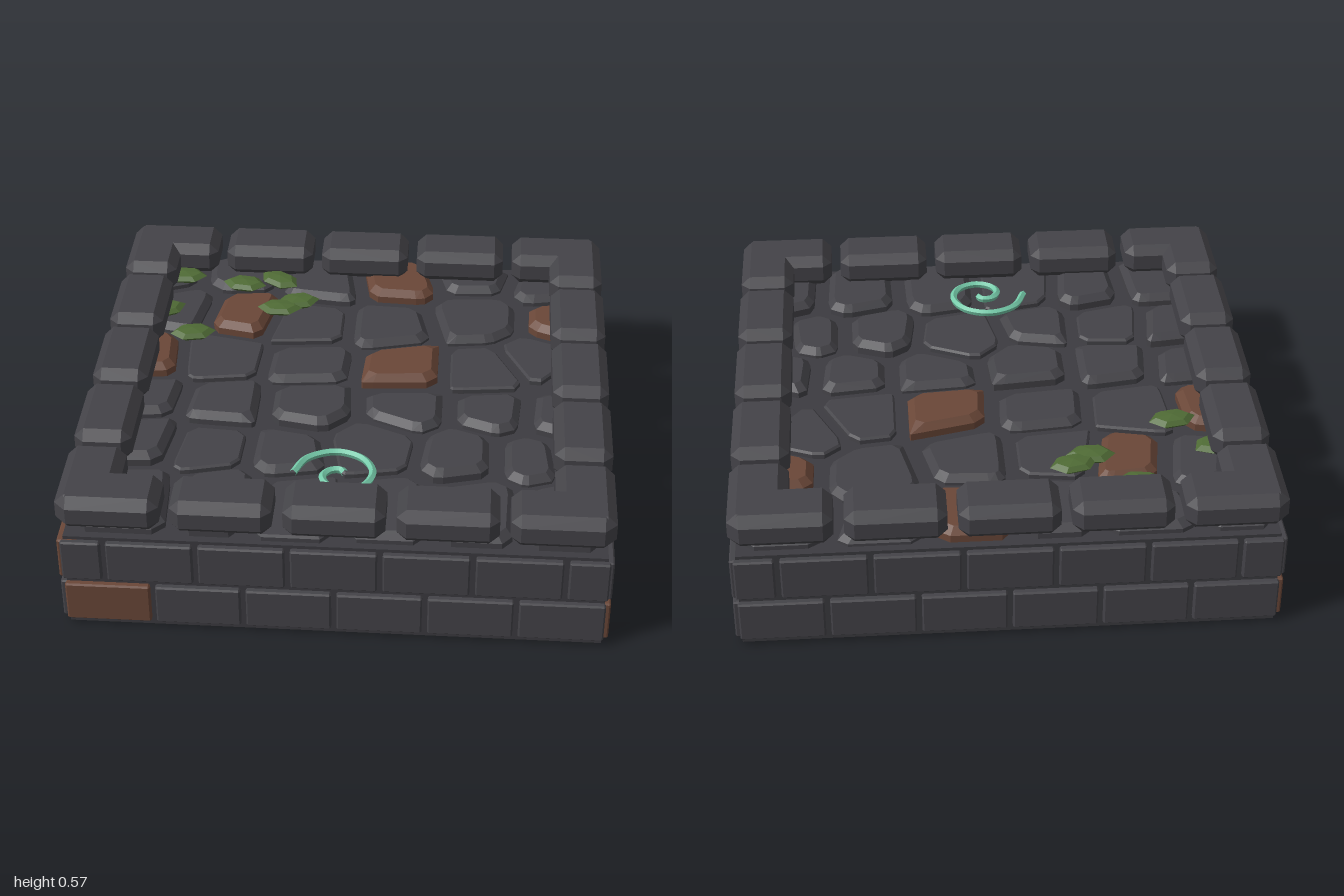
import * as THREE from 'three';
import { ConvexGeometry } from 'three/addons/geometries/ConvexGeometry.js';

const mat = (name, color) => {
  const m = new THREE.MeshStandardMaterial({ color });
  m.name = name;
  return m;
};

// Box with every edge cut by a chamfer
function chamferBox(w, h, d, b) {
  const pts = [];
  for (const sx of [-1, 1]) for (const sy of [-1, 1]) for (const sz of [-1, 1])
    for (const k of [0, 1, 2])
      pts.push(new THREE.Vector3(
        sx * (w / 2 - (k === 0 ? 0 : b)),
        sy * (h / 2 - (k === 1 ? 0 : b)),
        sz * (d / 2 - (k === 2 ? 0 : b))));
  return new ConvexGeometry(pts);
}

// Keep the part of a polygon where n.p <= c
function clip(poly, nx, nz, c) {
  const out = [];
  poly.forEach(([ax, az], i) => {
    const [bx, bz] = poly[(i + 1) % poly.length];
    const da = ax * nx + az * nz - c, db = bx * nx + bz * nz - c;
    if (da <= 0) out.push([ax, az]);
    if (da * db < 0) {
      const t = da / (da - db);
      out.push([ax + (bx - ax) * t, az + (bz - az) * t]);
    }
  });
  return out;
}

// Cell around one seed, drawn in from its neighbours by a gap, with cut corners
function cell(seeds, i, gap) {
  const e = 0.975 - gap;
  let poly = [[-e, -e], [e, -e], [e, e], [-e, e]];
  const [x, z] = seeds[i];
  seeds.forEach(([ox, oz], j) => {
    if (j === i) return;
    const l = Math.hypot(ox - x, oz - z), nx = (ox - x) / l, nz = (oz - z) / l;
    poly = clip(poly, nx, nz, nx * (x + ox) / 2 + nz * (z + oz) / 2 - gap);
  });
  const cut = 0.14;
  return poly.flatMap(([ax, az], k) => {
    const [bx, bz] = poly[(k + 1) % poly.length];
    return [cut, 1 - cut].map(t => [ax + (bx - ax) * t, az + (bz - az) * t]);
  });
}

export function createModel() {
  const root = new THREE.Group();
  root.name = 'stoneFloorTile';
  const stone = mat('dark stone', 0x444348);
  const mortar = mat('mortar', 0x3c3b40);
  const clay = mat('brown stone', 0x6a4738);
  const leaf = mat('moss green', 0x4f6b35);
  const glow = mat('mint', 0x74c9a8);

  const add = (parent, name, geo, m, x = 0, y = 0, z = 0) => {
    const mesh = new THREE.Mesh(geo, m);
    mesh.name = name;
    mesh.position.set(x, y, z);
    parent.add(mesh);
    return mesh;
  };

  // Solid core
  add(root, 'core', new THREE.BoxGeometry(1.95, 0.395, 1.95), mortar, 0, 0.1975, 0);

  // Two courses of bricks and five battlement blocks on each side
  const lower = [-0.99, -0.66, -0.33, 0, 0.33, 0.66, 0.99];
  const upper = [-0.995, -0.83, -0.498, -0.166, 0.166, 0.498, 0.83, 0.995];
  const brownLower = [[0], [0, 3], [], [0, 1]];
  const brownUpper = [[], [], [], [6]];
  const blockGeo = chamferBox(0.365, 0.135, 0.215, 0.036);
  for (let k = 0; k < 4; k++) {
    const side = new THREE.Group();
    side.name = ['frontWall', 'leftWall', 'backWall', 'rightWall'][k];
    side.rotation.y = k * Math.PI / 2;
    root.add(side);
    const course = (edges, y, h, brown) => {
      for (let i = 0; i < edges.length - 1; i++) {
        const w = edges[i + 1] - edges[i] - 0.02;
        add(side, 'brick', chamferBox(w, h, 0.08, 0.006), brown.includes(i) ? clay : stone,
          (edges[i] + edges[i + 1]) / 2, y, 0.958);
      }
    };
    course(lower, 0.108, 0.163, brownLower[k]);
    course(upper, 0.298, 0.168, brownUpper[k]);
    for (let i = -2; i <= 2; i++)
      add(side, 'battlementBlock', blockGeo, stone, i * 0.404 - (Math.abs(i) === 2 ? Math.sign(i) * 0.001 : 0), 0.5, 0.89);
  }

  // Paving stones: x, z of each centre
  const seeds = [
    [-0.75, -0.55], [-0.52, -0.84], [-0.17, -0.77], [0.14, -0.82], [0.48, -0.54],
    [0.8, -0.82], [-0.48, -0.51], [-0.21, -0.46], [0.12, -0.46], [0.86, -0.53],
    [-0.83, -0.16], [-0.55, -0.18], [-0.18, -0.16], [0.2, -0.14], [0.53, -0.14],
    [0.74, -0.24], [0.92, -0.1], [-0.8, 0.11], [-0.5, 0.14], [-0.15, 0.14],
    [0.22, 0.12], [0.56, 0.12], [0.82, 0.14], [-0.76, 0.41], [-0.52, 0.44],
    [-0.21, 0.45], [0.1, 0.39], [0.44, 0.43], [0.71, 0.43], [0.92, 0.41],
    [-0.74, 0.73], [-0.45, 0.71], [-0.15, 0.74], [0.17, 0.74], [0.52, 0.73],
    [0.82, 0.74], [0.46, -0.9], [-0.86, -0.82],
  ];
  const brownStones = [3, 6, 9, 10, 13];
  const lowStones = [7, 11, 14, 15, 24, 26, 32];
  const paving = new THREE.Group();
  paving.name = 'paving';
  root.add(paving);
  seeds.forEach((s, i) => {
    const brown = brownStones.includes(i), low = lowStones.includes(i);
    const top = low ? 0.42 : brown ? 0.45 : 0.432 + 0.006 * (i % 4);
    const gap = low ? 0.02 : 0.03;
    const ring = (g, y) => cell(seeds, i, g).map(([x, z]) => new THREE.Vector3(x, y, z));
    const bevel = low ? 0.008 : 0.026;
    const pts = [...ring(gap, 0.385), ...ring(gap, top - bevel), ...ring(gap + bevel, top)];
    add(paving, 'pavingStone', new ConvexGeometry(pts), brown ? clay : stone);
  });

  // Moss clumps: x, z, turn
  const mossGeo = new THREE.SphereGeometry(1, 6, 4).toNonIndexed();
  mossGeo.computeVertexNormals();
  const clumps = [
    [-0.5, -0.7, -0.15], [-0.355, -0.74, -0.6], [-0.265, -0.575, 0.25], [-0.335, -0.52, 0],
    [-0.67, -0.31, 0.2], [-0.76, -0.75, 0], [-0.81, -0.48, 0.5],
  ];
  for (const [x, z, turn] of clumps) {
    const m = add(root, 'mossClump', mossGeo, leaf, x, 0.45, z);
    m.scale.set(0.093, 0.022, 0.06);
    m.rotation.y = turn;
  }

  // Spiral inlay
  const path = [
    [-0.175, 0.63], [-0.13, 0.535], [-0.025, 0.488], [0.075, 0.525], [0.118, 0.61],
    [0.09, 0.69], [0.02, 0.72], [-0.045, 0.695], [-0.065, 0.645], [-0.04, 0.605],
    [0, 0.6], [0.015, 0.62],
  ].map(([x, z]) => new THREE.Vector3(x, 0.46, z));
  const tube = new THREE.TubeGeometry(new THREE.CatmullRomCurve3(path), 80, 0.0145, 5).toNonIndexed();
  tube.computeVertexNormals();
  add(root, 'spiral', tube, glow);
  return root;
}
